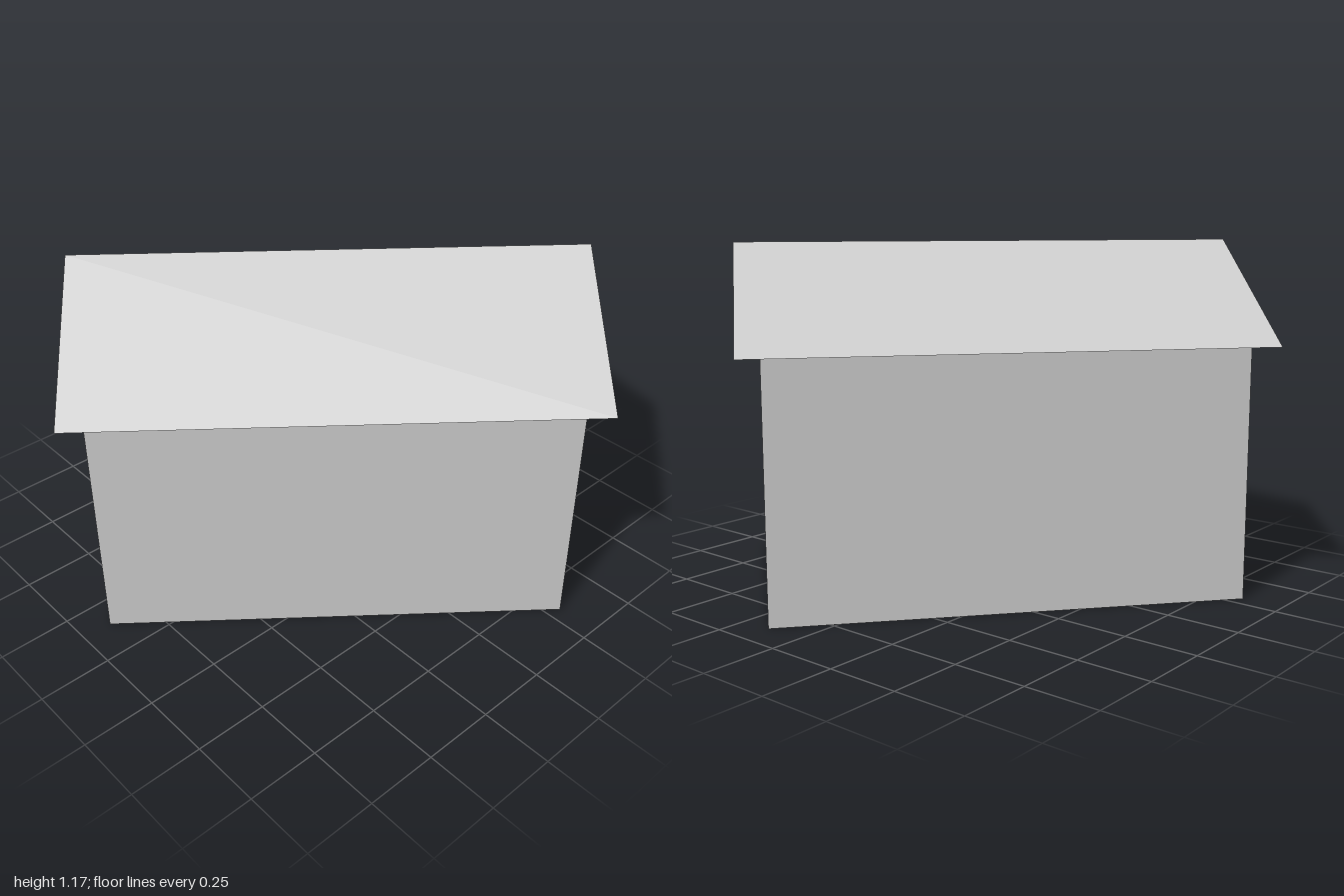
import * as THREE from 'three';

const RIDGE = 1.175, EAVE = 0.85;
const ROOF_HALF = 0.535, ROOF_LENGTH = 1.708;
const WALL_HALF = 0.468, WALL_LENGTH = 1.558;
const WALL_TOP = RIDGE - (RIDGE - EAVE) * WALL_HALF / ROOF_HALF;

export function createModel() {
  const model = new THREE.Group();
  const grey = new THREE.MeshStandardMaterial({ color: 0xcccccc, side: THREE.DoubleSide });
  grey.name = 'light grey';

  const house = new THREE.Group();
  house.name = 'house';
  house.rotation.y = -0.694; // the ridge runs diagonally
  model.add(house);

  const add = (name, geometry) => {
    const mesh = new THREE.Mesh(geometry, grey);
    mesh.name = name;
    house.add(mesh);
    return mesh;
  };

  const gable = new THREE.Shape([
    new THREE.Vector2(-WALL_HALF, 0),
    new THREE.Vector2(WALL_HALF, 0),
    new THREE.Vector2(WALL_HALF, WALL_TOP),
    new THREE.Vector2(0, RIDGE),
    new THREE.Vector2(-WALL_HALF, WALL_TOP),
  ]);
  const slope = Math.hypot(ROOF_HALF, RIDGE - EAVE);
  const pitch = Math.atan2(RIDGE - EAVE, ROOF_HALF);

  for (const side of [-1, 1]) {
    const hand = side > 0 ? 'left' : 'right';

    // Gable end, facing outwards
    const end = add(side > 0 ? 'frontGable' : 'backGable', new THREE.ShapeGeometry(gable));
    end.position.z = side * WALL_LENGTH / 2;
    end.rotation.y = side > 0 ? 0 : Math.PI;

    // Long side wall
    const wall = add(hand + 'Wall', new THREE.PlaneGeometry(WALL_LENGTH, WALL_TOP));
    wall.position.set(side * WALL_HALF, WALL_TOP / 2, 0);
    wall.rotation.y = side * Math.PI / 2;

    // Thin roof sheet from ridge to eave
    const sheet = new THREE.PlaneGeometry(slope, ROOF_LENGTH);
    sheet.rotateX(-Math.PI / 2);
    sheet.rotateZ(-side * pitch);
    const roof = add(hand + 'Roof', sheet);
    roof.position.set(side * ROOF_HALF / 2, (RIDGE + EAVE) / 2, 0);
  }

  // Ceiling at the top of the walls; the bottom stays open
  const ceiling = add('ceiling', new THREE.PlaneGeometry(2 * WALL_HALF, WALL_LENGTH));
  ceiling.rotation.x = Math.PI / 2;
  ceiling.position.y = WALL_TOP;

  return model;
}
